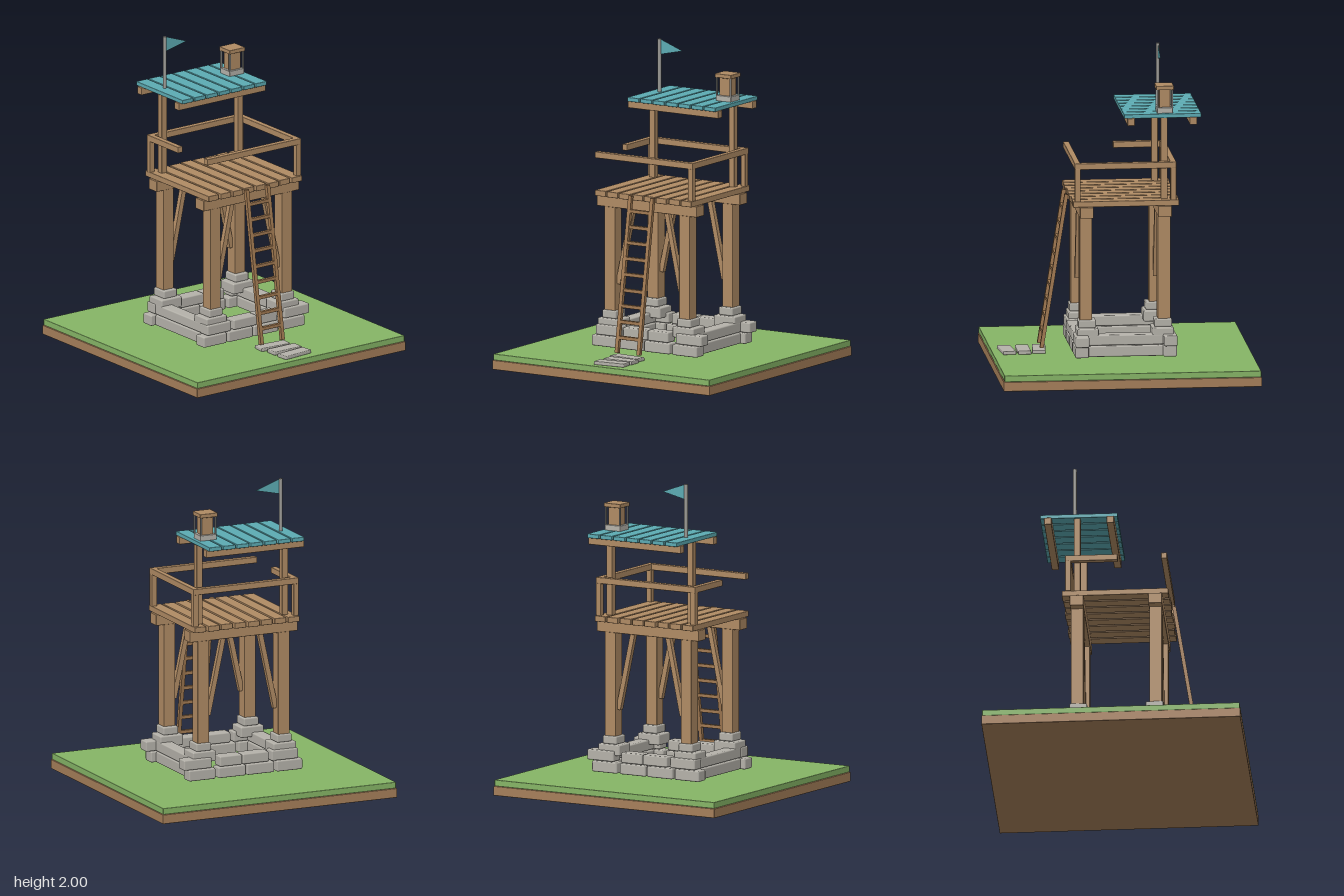
import * as THREE from 'three';
import { RoundedBoxGeometry } from 'three/addons/geometries/RoundedBoxGeometry.js';

const mat = (name, color, extra = {}) => {
  const m = new THREE.MeshStandardMaterial({ color, ...extra });
  m.name = name;
  return m;
};

export function createModel() {
  const wood = mat('wood', 0xb08b64);
  const darkWood = mat('ladderWood', 0xa27a52);
  const dirt = mat('dirt', 0xa67f5a);
  const grass = mat('grass', 0x86b566);
  const stone = mat('stone', 0xb5b2aa);
  const metal = mat('metal', 0x9c9b96);
  const teal = mat('teal', 0x5cabb3);
  const cloth = mat('cloth', 0x5cabb3, { side: THREE.DoubleSide });

  const root = new THREE.Group();
  root.name = 'watchtower';
  const group = (name) => {
    const g = new THREE.Group();
    g.name = name;
    root.add(g);
    return g;
  };
  // Bevelled block given by its extents on each axis
  const block = (parent, name, material, [x0, x1], [y0, y1], [z0, z1], bevel = 0.004) => {
    const geo = new RoundedBoxGeometry(x1 - x0, y1 - y0, z1 - z0, 1, bevel);
    const mesh = new THREE.Mesh(geo, material);
    mesh.name = name;
    mesh.position.set((x0 + x1) / 2, (y0 + y1) / 2, (z0 + z1) / 2);
    parent.add(mesh);
    return mesh;
  };
  // Square bar running between two points
  const bar = (parent, name, material, a, b, w, d) => {
    const from = new THREE.Vector3(...a), to = new THREE.Vector3(...b);
    const mesh = new THREE.Mesh(new THREE.BoxGeometry(w, from.distanceTo(to), d), material);
    mesh.name = name;
    mesh.position.copy(from).add(to).multiplyScalar(0.5);
    mesh.quaternion.setFromUnitVectors(new THREE.Vector3(0, 1, 0), to.sub(from).normalize());
    parent.add(mesh);
  };
  const around = (c, half) => [c - half, c + half];

  // Ground slab
  const ground = group('ground');
  block(ground, 'soil', dirt, [-0.815, 0.815], [0, 0.06], [-0.815, 0.815]);
  block(ground, 'turf', grass, [-0.81, 0.81], [0.06, 0.1], [-0.81, 0.81]);

  // Stone foundation: front and back courses, then side courses
  const base = group('foundation');
  const lower = [[-0.395, -0.215], [-0.2, -0.01], [0, 0.19], [0.21, 0.395]];
  const upper = [[-0.365, -0.18], [-0.16, 0.02], [0.025, 0.18], [0.235, 0.43]];
  for (const s of [-1, 1]) {
    const z = around(s * 0.278, 0.043);
    lower.forEach((x) => block(base, 'lowerStone', stone, x, [0.12, 0.19], z, 0.009));
    upper.forEach((x) => block(base, 'upperStone', stone, x, [0.193, 0.26], z, 0.009));
    const x = around(s * 0.318, 0.043);
    block(base, 'lowerSideStone', stone, x, [0.12, 0.19], [-0.24, 0.24], 0.009);
    block(base, 'upperSideStone', stone, x, [0.193, 0.26], [-0.24, 0.24], 0.009);
  }

  // Footings, legs and braces
  const frame = group('frame');
  for (const sz of [-1, 1]) {
    for (const sx of [-1, 1]) {
      block(base, 'footing', stone, around(sx * 0.28, 0.08), [0.23, 0.3], around(sz * 0.237, 0.068), 0.009);
      block(base, 'footingCap', stone, around(sx * 0.28, 0.052), [0.3, 0.352], around(sz * 0.24, 0.056), 0.009);
      block(frame, 'leg', wood, around(sx * 0.28, 0.04), [0.35, 1.05], around(sz * 0.247, 0.04));
      bar(frame, 'brace', wood, [sx * 0.235, 0.52, sz * 0.247], [sx * 0.125, 1.03, sz * 0.247], 0.032, 0.032);
    }
    block(frame, 'deckBeam', wood, [-0.375, 0.375], [1.01, 1.08], around(sz * 0.247, 0.043));
  }

  // Deck planks
  const deck = group('deck');
  for (let i = 0; i < 8; i++) {
    const jog = (i % 3 - 1) * 0.004;
    block(deck, 'deckPlank', wood, around((i - 3.5) * 0.0925, 0.04), [1.08, 1.117], [-0.337 + jog, 0.333 + jog]);
  }

  // Railing: the left-hand side stops halfway and has no front post
  const railing = group('railing');
  const railY = [1.32, 1.36];
  block(railing, 'frontRail', wood, [-0.368, 0.365], railY, [0.285, 0.322]);
  block(railing, 'backRail', wood, [-0.368, 0.365], railY, [-0.32, -0.283]);
  block(railing, 'longSideRail', wood, [0.328, 0.365], railY, [-0.32, 0.322]);
  block(railing, 'shortSideRail', wood, [-0.368, -0.331], railY, [-0.32, 0.01]);
  for (const [x, z] of [[0.347, 0.303], [0.347, -0.301], [-0.35, -0.301]]) {
    block(railing, 'railPost', wood, around(x, 0.018), [1.115, 1.325], around(z, 0.018));
  }

  // Roof on two rear posts
  const roof = group('roof');
  for (const s of [-1, 1]) {
    block(roof, 'roofPost', wood, around(s * 0.298, 0.021), [1.115, 1.637], around(-0.247, 0.021));
  }
  for (const z of [-0.037, -0.43]) {
    block(roof, 'roofBeam', wood, [-0.343, 0.338], [1.59, 1.638], around(z, 0.023));
  }
  for (let i = 0; i < 7; i++) {
    block(roof, 'roofPlank', teal, around((i - 3) * 0.0958, 0.043), [1.635, 1.662], [-0.48, 0.008]);
  }

  // Roof lantern
  const lantern = group('lantern');
  const lx = 0.252, lz = -0.253;
  block(lantern, 'lanternBase', stone, around(lx, 0.057), [1.66, 1.697], around(lz, 0.05));
  block(lantern, 'lanternBody', wood, around(lx, 0.04), [1.695, 1.815], around(lz, 0.036));
  block(lantern, 'lanternCap', wood, around(lx, 0.061), [1.81, 1.836], around(lz, 0.056));
  for (const sx of [-1, 1]) for (const sz of [-1, 1]) {
    block(lantern, 'lanternRod', metal, around(lx + sx * 0.052, 0.005), [1.69, 1.812], around(lz + sz * 0.045, 0.005), 0.001);
  }

  // Flag and pole
  const flag = group('flag');
  const pole = new THREE.Mesh(new THREE.CylinderGeometry(0.012, 0.012, 0.35, 8), metal);
  pole.name = 'flagPole';
  pole.position.set(-0.267, 1.825, -0.265);
  flag.add(pole);
  const pennantShape = new THREE.Shape([
    new THREE.Vector2(0, 0), new THREE.Vector2(0.165, -0.06), new THREE.Vector2(0, -0.097),
  ]);
  const pennant = new THREE.Mesh(new THREE.ShapeGeometry(pennantShape), cloth);
  pennant.name = 'pennant';
  pennant.position.set(-0.259, 1.998, -0.265);
  flag.add(pennant);

  // Leaning ladder
  const ladder = group('ladder');
  const zAt = (y) => 0.503 - (y - 0.135) * 0.16;
  for (const s of [-1, 1]) {
    bar(ladder, 'ladderRail', darkWood, [s * 0.082, 0.133, zAt(0.133)], [s * 0.082, 1.112, zAt(1.112)], 0.024, 0.024);
  }
  for (let i = 0; i < 9; i++) {
    const y = 0.23 + i * 0.0985;
    block(ladder, 'rung', darkWood, [-0.08, 0.08], around(y, 0.011), around(zAt(y), 0.011), 0.002);
  }

  // Stepping stones
  const path = group('path');
  for (const [x, z, turn] of [[0, 0.513, -0.09], [0.018, 0.613, 0], [0.018, 0.717, 0.09]]) {
    const slab = block(path, 'steppingStone', stone, around(x, 0.107), [0.098, 0.122], around(z, 0.042), 0.006);
    slab.rotation.y = turn;
  }
  return root;
}
